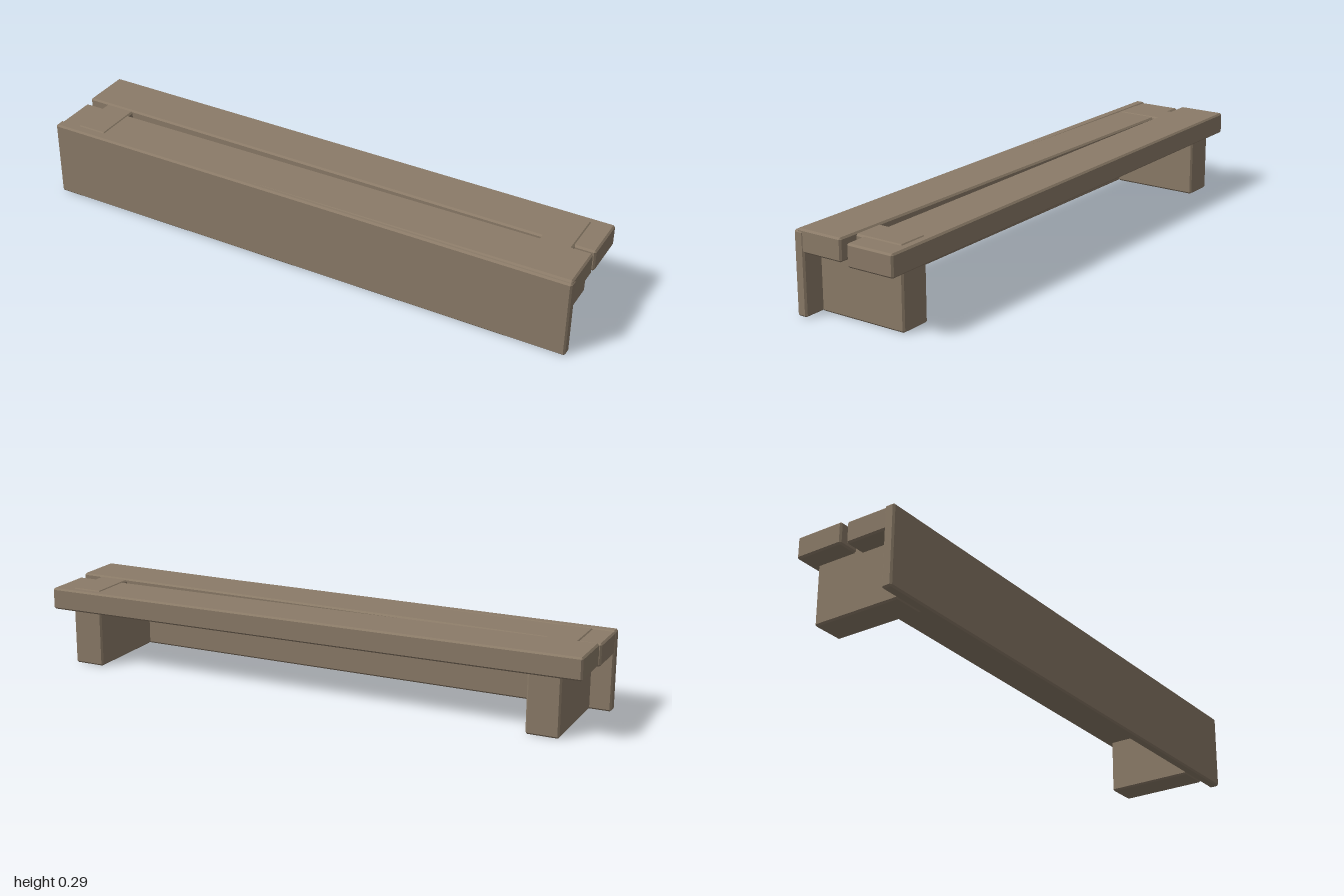
import * as THREE from 'three';
import { ConvexGeometry } from 'three/addons/geometries/ConvexGeometry.js';

const BEVEL = 0.006;

// Box with small chamfers on every edge
function chamferedBox(w, h, d) {
  const half = [w / 2, h / 2, d / 2];
  const points = [];
  for (const sx of [-1, 1]) for (const sy of [-1, 1]) for (const sz of [-1, 1]) {
    for (let face = 0; face < 3; face++) {
      const p = half.map((v, i) => (i === face ? v : v - BEVEL));
      points.push(new THREE.Vector3(sx * p[0], sy * p[1], sz * p[2]));
    }
  }
  return new ConvexGeometry(points);
}

export function createModel() {
  const bench = new THREE.Group();
  bench.name = 'bench';
  const wood = new THREE.MeshStandardMaterial({ color: 0x8b7b68 });
  wood.name = 'weathered wood';

  // Timber given by its x, y and z ranges, with a slight tilt along its length
  function timber(name, [x0, x1], [y0, y1], [z0, z1], tilt = 0) {
    const mesh = new THREE.Mesh(chamferedBox(x1 - x0, y1 - y0, z1 - z0), wood);
    mesh.name = name;
    mesh.position.set((x0 + x1) / 2, (y0 + y1) / 2, (z0 + z1) / 2);
    mesh.rotation.z = tilt;
    bench.add(mesh);
  }

  // Seat planks, tilted opposite ways so the leg blocks show through at one end each
  timber('frontSeatPlank', [-0.998, 0.998], [0.206, 0.284], [0.007, 0.184], 0.005);
  timber('backSeatPlank', [-0.998, 0.998], [0.206, 0.284], [-0.195, -0.016], -0.005);

  // Upright board along the front
  timber('frontBoard', [-1, 1], [0, 0.283], [0.157, 0.195]);

  // Leg blocks
  timber('rightLeg', [-0.925, -0.81], [0, 0.283], [-0.171, 0.16]);
  timber('leftLeg', [0.81, 0.925], [0, 0.283], [-0.171, 0.16]);

  return bench;
}
